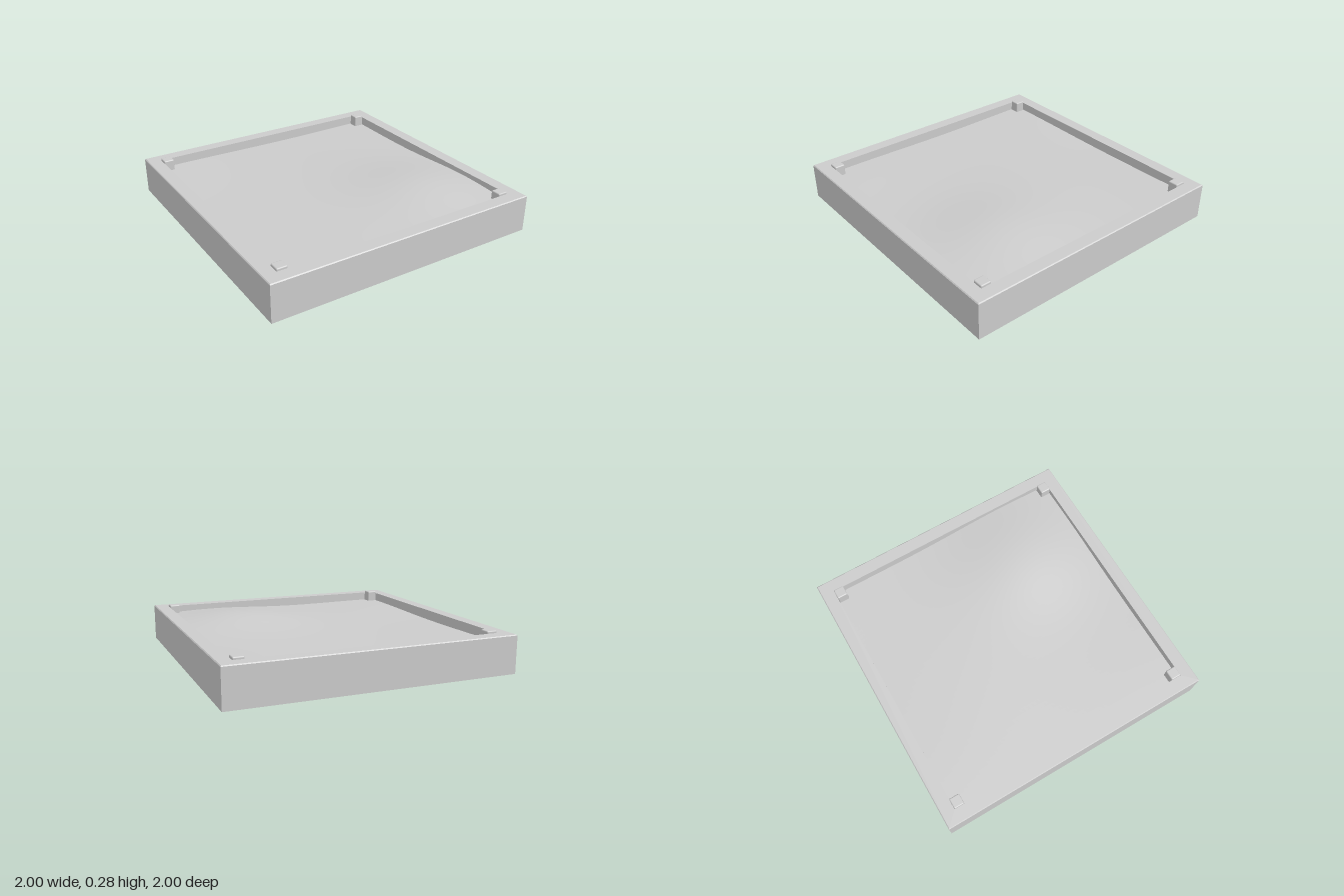
import * as THREE from 'three';
import { RoundedBoxGeometry } from 'three/addons/geometries/RoundedBoxGeometry.js';

const INNER = 0.905; // half width of the opening
const RIM = 0.267;   // height of the rim

// Sand surface: a gentle level with one broad mound and faint ripples
function sandHeight(x, z) {
  const mound = 0.068 * Math.exp(-((x - 0.5) ** 2 + (z - 0.45) ** 2) / 0.22);
  const ripple = 0.005 * Math.sin(3 * x + 1) * Math.cos(3.5 * z + 0.4);
  return 0.2 + mound + ripple;
}

export function createModel() {
  const group = new THREE.Group();
  const smooth = new THREE.MeshStandardMaterial({ color: 0xcccccc });
  const flat = new THREE.MeshStandardMaterial({ color: 0xcccccc, flatShading: true });

  const add = (name, geometry, material) => {
    const mesh = new THREE.Mesh(geometry, material);
    mesh.name = name;
    group.add(mesh);
    return mesh;
  };

  // Square tray: a wall section swept round four corners
  const section = [
    [0, 0], [1, 0], [1, RIM - 0.006], [0.994, RIM],
    [INNER, RIM], [INNER, 0.1], [0, 0.1],
  ].map(([r, y]) => new THREE.Vector2(r * Math.SQRT2, y));
  add('tray', new THREE.LatheGeometry(section, 4, Math.PI / 4), flat);

  // Undulating sand bed
  const sand = new THREE.PlaneGeometry(2 * INNER, 2 * INNER, 48, 48).rotateX(-Math.PI / 2);
  const p = sand.attributes.position;
  for (let i = 0; i < p.count; i++) p.setY(i, sandHeight(p.getX(i), p.getZ(i)));
  sand.computeVertexNormals();
  add('sand', sand, smooth);

  // Corner posts standing just above the rim
  const postTop = 0.284, postBottom = 0.02, w = 0.075;
  const post = new RoundedBoxGeometry(w, postTop - postBottom, w, 2, 0.008);
  for (const sx of [-1, 1]) {
    for (const sz of [-1, 1]) {
      const mesh = add(`${sz > 0 ? 'front' : 'back'}${sx > 0 ? 'Left' : 'Right'}Post`, post, smooth);
      mesh.position.set(sx * (INNER - w / 2), (postTop + postBottom) / 2, sz * (INNER - w / 2));
    }
  }
  return group;
}
